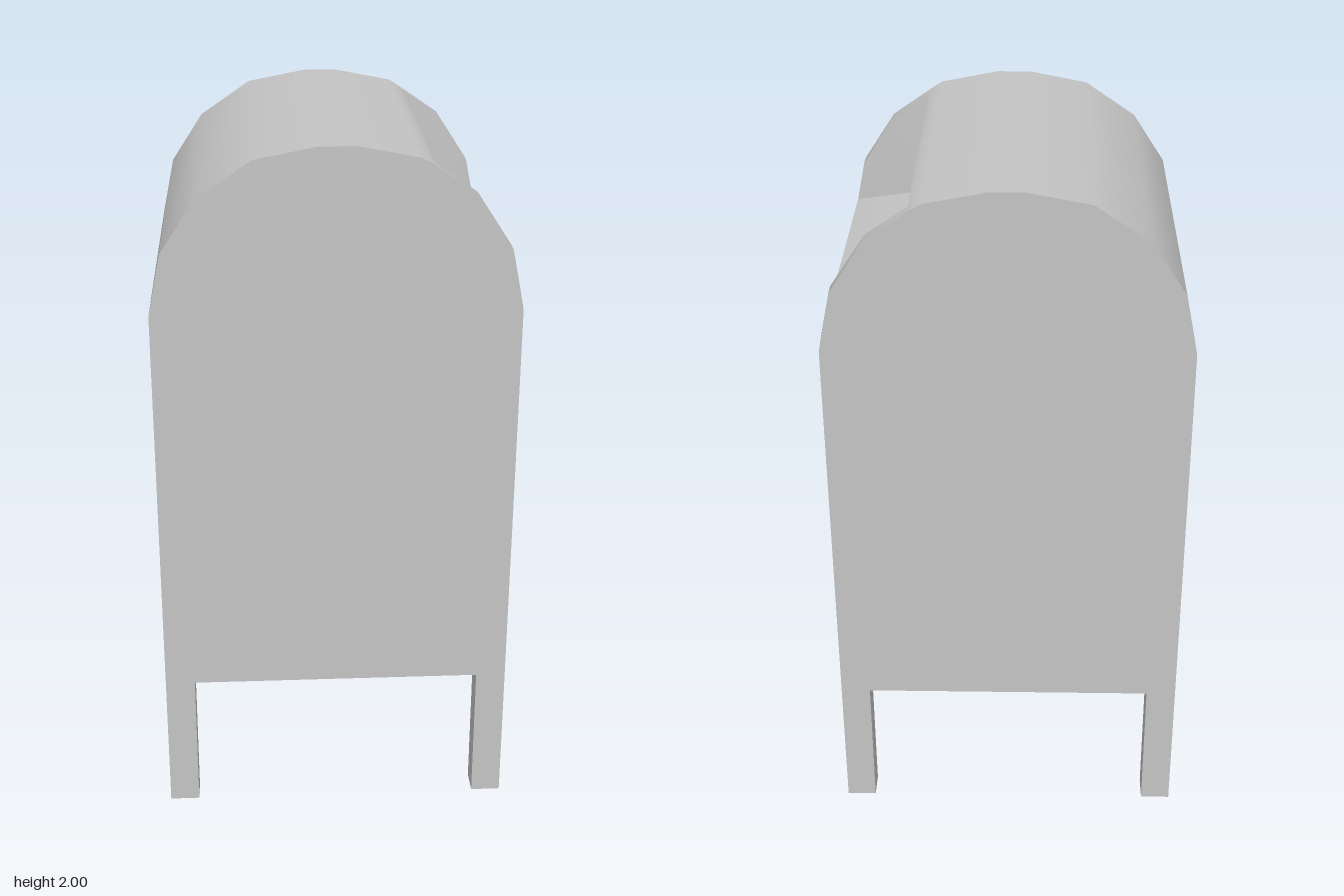
import * as THREE from 'three';

const paint = new THREE.MeshStandardMaterial({ color: 0xc4c4c4, side: THREE.DoubleSide });
paint.name = 'light grey';

// Right half of the arched outline, from crown to base
const arch = [[0.05, 2], [0.22, 1.967], [0.37, 1.865], [0.465, 1.72], [0.5, 1.55], [0.5, 0.41]];
const leftHalf = arch.map(([x, y]) => [-x, y]).reverse();

// Hatch opening: cut points on the arch and the inner floor corner
const cutTop = [0.255, 1.944], cutLow = [0.49, 1.6], inner = [0.255, 1.637];
const OPEN = 0.457, INNER = 0.449, DEPTH = 0.5;

function add(group, name, geometry) {
  const mesh = new THREE.Mesh(geometry, paint);
  mesh.name = name;
  group.add(mesh);
  return mesh;
}

// Smooth sheet through profile points [x, y, halfWidth?], stretched along z
function ribbon(points, z0, z1) {
  const pos = [], nor = [], index = [];
  points.forEach(([x, y, w], i) => {
    const a = points[Math.max(i - 1, 0)], b = points[Math.min(i + 1, points.length - 1)];
    // the chord between neighbours gives a length-weighted normal
    const n = new THREE.Vector2(a[1] - b[1], b[0] - a[0]).normalize();
    pos.push(x, y, w ? -w : z0, x, y, w ? w : z1);
    nor.push(n.x, n.y, 0, n.x, n.y, 0);
    if (i) {
      const k = 2 * i - 2;
      index.push(k, k + 1, k + 2, k + 1, k + 3, k + 2);
    }
  });
  const g = new THREE.BufferGeometry();
  g.setAttribute('position', new THREE.Float32BufferAttribute(pos, 3));
  g.setAttribute('normal', new THREE.Float32BufferAttribute(nor, 3));
  g.setIndex(index);
  return g;
}

// Side wall of the hatch: fan from the inner corner to the arch edge
function cheek(side) {
  const rim = [cutTop, arch[2], arch[3], cutLow];
  const pos = [];
  for (let i = 0; i < rim.length - 1; i++) {
    const pair = side > 0 ? [rim[i], rim[i + 1]] : [rim[i + 1], rim[i]];
    pos.push(...inner, side * INNER);
    pair.forEach(p => pos.push(...p, side * OPEN));
  }
  // wind the faces so they look into the opening
  const g = new THREE.BufferGeometry();
  g.setAttribute('position', new THREE.Float32BufferAttribute(pos, 3));
  const flip = [];
  for (let i = 0; i < pos.length / 3; i += 3) flip.push(i, i + 1, i + 2);
  g.setIndex(flip);
  g.computeVertexNormals();
  if (g.attributes.normal.getZ(0) * side > 0) {
    g.setIndex(flip.reverse());
    g.computeVertexNormals();
  }
  return g;
}

export function createModel() {
  const group = new THREE.Group();

  // Shell
  add(group, 'shell', ribbon([...leftHalf, arch[0], arch[1], cutTop], -DEPTH, DEPTH));
  const rail = [cutTop, arch[2], arch[3], cutLow, arch[4], arch[5]];
  add(group, 'frontRail', ribbon(rail, OPEN, DEPTH));
  add(group, 'backRail', ribbon(rail, -DEPTH, -OPEN));
  add(group, 'underside', ribbon([arch[5], leftHalf[0]], -DEPTH, DEPTH));

  // End walls
  const outline = new THREE.Shape([...leftHalf, ...arch].map(p => new THREE.Vector2(...p)));
  add(group, 'frontWall', new THREE.ShapeGeometry(outline)).position.z = DEPTH;
  const back = add(group, 'backWall', new THREE.ShapeGeometry(outline));
  back.rotation.y = Math.PI;
  back.position.z = -DEPTH;

  // Hatch recess: back wall, floor rolling into the side panel, cheeks
  add(group, 'hatchBack', ribbon([[...cutTop, OPEN], [...inner, INNER]], 0, 0));
  add(group, 'hatchFloorAndSide',
    ribbon([[...inner, INNER], [...cutLow, OPEN], [...arch[4], OPEN], [...arch[5], OPEN]], 0, 0));
  add(group, 'frontCheek', cheek(1));
  add(group, 'backCheek', cheek(-1));
  add(group, 'hatchHandle', new THREE.BoxGeometry(0.05, 0.03, 0.8)).position.set(0.28, 1.66, 0);

  // Hollow legs, open at top and bottom
  const legGeometry = new THREE.BoxGeometry(0.085, 0.41, 0.075);
  const faces = Array.from(legGeometry.index.array);
  legGeometry.setIndex(faces.filter((_, i) => i < 12 || i >= 24));
  legGeometry.clearGroups();
  for (const x of [-1, 1]) for (const z of [-1, 1]) {
    const name = (z > 0 ? 'front' : 'back') + (x > 0 ? 'Left' : 'Right') + 'Leg';
    add(group, name, legGeometry).position.set(x * 0.4575, 0.205, z * 0.4625);
  }
  return group;
}
